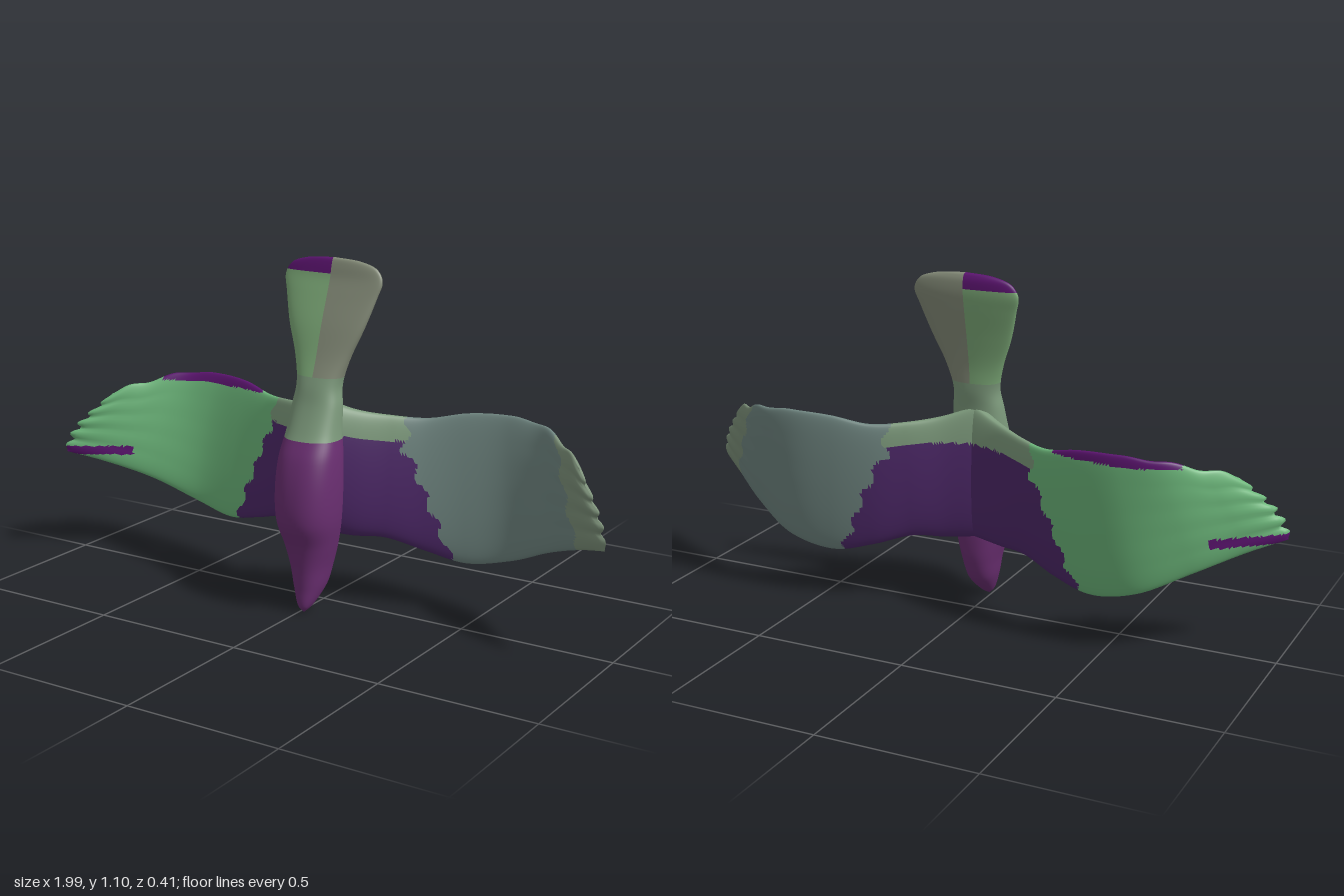
import * as THREE from 'three';

const PURPLE = 0x6b2f72, VIOLET = 0x4d2868, EDGE = 0x5c1470;
const SAGE = 0x7d9a7c, LEAF = 0x7daa78, GREEN = 0x6cb67a, GREY = 0x6f8580, WARM = 0x7c9079, TAILGREY = 0x848b78;

// Closed-loop surface: point(u, angle) swept over u, rings wrap around.
function loftSurface(point, nu, nv, flip) {
  const pos = [], index = [];
  for (let i = 0; i <= nu; i++)
    for (let j = 0; j < nv; j++) pos.push(...point(i / nu, (j / nv) * Math.PI * 2).toArray());
  for (let i = 0; i < nu; i++)
    for (let j = 0; j < nv; j++) {
      const k = (j + 1) % nv;
      const a = i * nv + j, b = a + nv, c = i * nv + k, d = c + nv;
      if (flip) index.push(a, c, b, b, c, d);
      else index.push(a, b, c, b, d, c);
    }
  const geo = new THREE.BufferGeometry();
  geo.setAttribute('position', new THREE.Float32BufferAttribute(pos, 3));
  geo.setIndex(index);
  geo.computeVertexNormals();
  return geo;
}

// Splits a surface into one mesh per plumage colour, keeping the shared smooth normals.
function plumage(name, geo, colourAt) {
  const flat = geo.toNonIndexed();
  const p = flat.attributes.position, n = flat.attributes.normal;
  const zones = new Map();
  for (let i = 0; i < p.count; i += 3) {
    const mid = (get) => (get(i) + get(i + 1) + get(i + 2)) / 3;
    const colour = colourAt(mid((k) => p.getX(k)), mid((k) => p.getY(k)));
    if (!zones.has(colour)) zones.set(colour, { pos: [], nor: [] });
    const zone = zones.get(colour);
    for (let k = i; k < i + 3; k++) {
      zone.pos.push(p.getX(k), p.getY(k), p.getZ(k));
      zone.nor.push(n.getX(k), n.getY(k), n.getZ(k));
    }
  }
  const group = new THREE.Group();
  group.name = name;
  for (const [colour, zone] of zones) {
    const g = new THREE.BufferGeometry();
    g.setAttribute('position', new THREE.Float32BufferAttribute(zone.pos, 3));
    g.setAttribute('normal', new THREE.Float32BufferAttribute(zone.nor, 3));
    const mesh = new THREE.Mesh(g, new THREE.MeshStandardMaterial({ color: colour }));
    mesh.name = `${name}Feathers${group.children.length + 1}`;
    group.add(mesh);
  }
  return group;
}

const curve = (points) => new THREE.CatmullRomCurve3(points.map((p) => new THREE.Vector3(...p)));
// Squarer than a sine, for blunt cross-sections
const blunt = (s, power) => Math.sign(s) * Math.pow(Math.abs(s), power);

// Beak, body and fanned tail: [y, half width, front z, back z]
const BODY = [
  [0, 0.002, 0.137, 0.133], [0.02, 0.02, 0.152, 0.1], [0.08, 0.045, 0.156, 0.035],
  [0.15, 0.06, 0.163, 0.008], [0.22, 0.078, 0.178, 0], [0.3, 0.095, 0.207, 0],
  [0.4, 0.101, 0.207, 0], [0.5, 0.098, 0.185, 0], [0.58, 0.088, 0.145, 0],
  [0.66, 0.082, 0.112, -0.002], [0.72, 0.075, 0.095, -0.01], [0.8, 0.095, 0.066, -0.015],
  [0.9, 0.135, 0.035, -0.032], [0.99, 0.163, 0.002, -0.05], [1.04, 0.175, -0.016, -0.058],
  [1.075, 0.155, -0.024, -0.058], [1.095, 0.1, -0.03, -0.052], [1.103, 0.004, -0.038, -0.042],
];

function makeBody() {
  const front = curve(BODY.map(([y, w, f]) => [w, y, f]));
  const back = curve(BODY.map(([y, w, , b]) => [w, y, b]));
  const geo = loftSurface((u, a) => {
    const f = front.getPoint(u), b = back.getPoint(u);
    const centre = (f.z + b.z) / 2, depth = (f.z - b.z) / 2;
    return new THREE.Vector3(
      0.012 + f.x * blunt(Math.cos(a), 0.85), f.y, centre + depth * blunt(Math.sin(a), 0.85));
  }, 110, 56, false);
  return plumage('body', geo, (x, y) => {
    if (y < 0.555) return PURPLE;
    if (y > 1.055 && x < 0.01) return EDGE;
    if (y > 0.75) return x < 0.01 ? LEAF : TAILGREY;
    return SAGE;
  });
}

// Wing edges from root to tip: the edge toward the head and the edge toward the tail
const LEAD = curve([
  [0, 0.24, 0.01], [0.1, 0.23, -0.01], [0.2, 0.23, -0.045], [0.32, 0.195, -0.09],
  [0.45, 0.168, -0.12], [0.6, 0.2, -0.13], [0.75, 0.27, -0.075], [0.89, 0.33, 0.015],
  [0.995, 0.365, 0.085],
]);
const TRAIL = curve([
  [0, 0.67, 0.01], [0.1, 0.635, -0.03], [0.2, 0.618, -0.085], [0.3, 0.612, -0.135],
  [0.42, 0.635, -0.172], [0.55, 0.642, -0.188], [0.67, 0.633, -0.168], [0.78, 0.603, -0.09],
  [0.865, 0.57, -0.01],
]);

function makeWing(name, side) {
  const geo = loftSurface((u, a) => {
    const lead = LEAD.getPoint(u), trail = TRAIL.getPoint(u);
    const c = (1 - Math.cos(a)) / 2;
    const s = Math.sin(a);
    const chord = trail.clone().sub(lead);
    const along = LEAD.getTangent(u).lerp(TRAIL.getTangent(u), c);
    const normal = along.clone().cross(chord).normalize();
    // thins toward the tip; the front swells into the body at the root
    const root = s > 0 ? Math.max(0, 1 - u / 0.3) : 0;
    const half = (0.038 - 0.018 * u + 0.05 * root * root) * (1 - 0.2 * c)
      * Math.sqrt(Math.max(0, 1 - Math.pow(u, 20)));
    // overlapping feather ends scallop the tip
    const feather = Math.abs(Math.sin(Math.PI * c * 5));
    const reach = Math.pow(u, 8);
    const bow = Math.sin(Math.PI * c);
    const p = lead.addScaledVector(chord, c);
    p.addScaledVector(normal, blunt(s, 0.75) * half * (1 + 0.3 * reach * (feather - 0.5)));
    p.addScaledVector(along, reach * (0.02 * bow + 0.036 * (feather - 0.4) * Math.sqrt(Math.abs(bow))));
    p.y += 0.006 * Math.sin(u * 42) * c * c * Math.min(1, Math.max(0, u * 4 - 2.4));
    p.x = Math.min(p.x, 1) * side;
    return p;
  }, 110, 80, side < 0);
  return plumage(name, geo, (x, y) => {
    const d = Math.abs(x);
    const jag = 0.012 * Math.sin(y * 70);
    const limit = (y < 0.5 ? 0.4 - 0.45 * (y - 0.2) : 0.25) + jag;
    if (d < limit) return y < 0.555 - 0.1 * Math.max(0, d - 0.1) ? VIOLET : SAGE;
    if (side < 0) {
      if (y > 0.61 && d > 0.33 && d < 0.73) return EDGE;
      if (d > 0.8 && y > 0.355 && y < 0.385) return EDGE;
      return GREEN;
    }
    return d > 0.9 - 0.5 * (y - 0.3) + jag ? WARM : GREY;
  });
}

export function createModel() {
  const model = new THREE.Group();
  model.name = 'flyingBird';
  model.add(makeBody(), makeWing('leftWing', 1), makeWing('rightWing', -1));
  return model;
}
